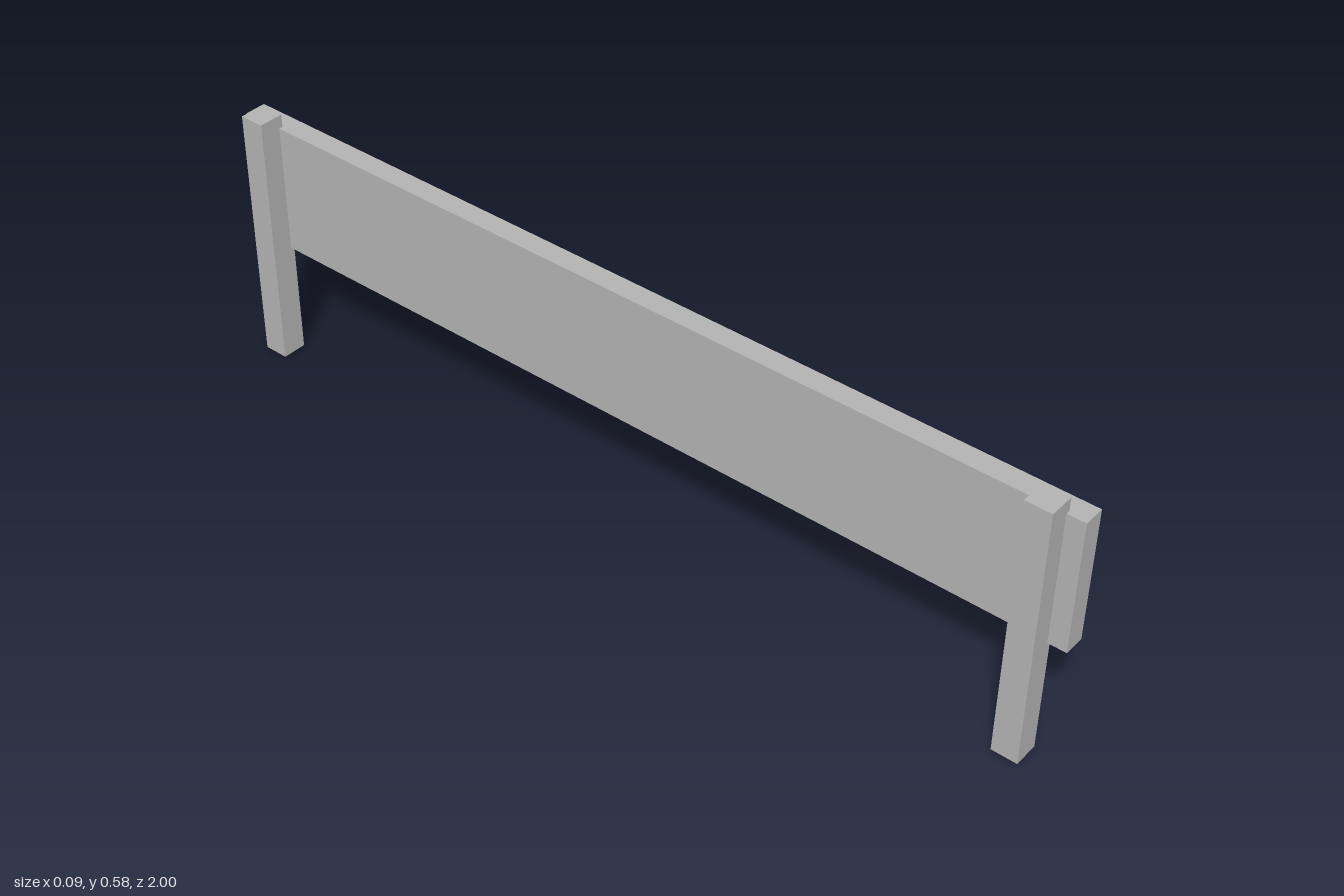
import * as THREE from 'three';

export function createModel() {
  const model = new THREE.Group();
  model.name = 'barrier';
  const grey = new THREE.MeshStandardMaterial({ color: 0xb2b2b2 });
  grey.name = 'plain grey';

  // Box given by its min and max corners
  function box(name, [x0, y0, z0], [x1, y1, z1]) {
    const mesh = new THREE.Mesh(new THREE.BoxGeometry(x1 - x0, y1 - y0, z1 - z0), grey);
    mesh.position.set((x0 + x1) / 2, (y0 + y1) / 2, (z0 + z1) / 2);
    mesh.name = name;
    model.add(mesh);
    return mesh;
  }

  // Long board, let slightly into the posts
  box('board', [0, 0.26, -1], [0.047, 0.552, 1]);

  // Square posts near both ends
  for (const [name, z] of [['frontPost', 0.933], ['backPost', -0.933]]) {
    box(name, [-0.047, 0, z - 0.028], [0.009, 0.581, z + 0.028]);
  }
  return model;
}
